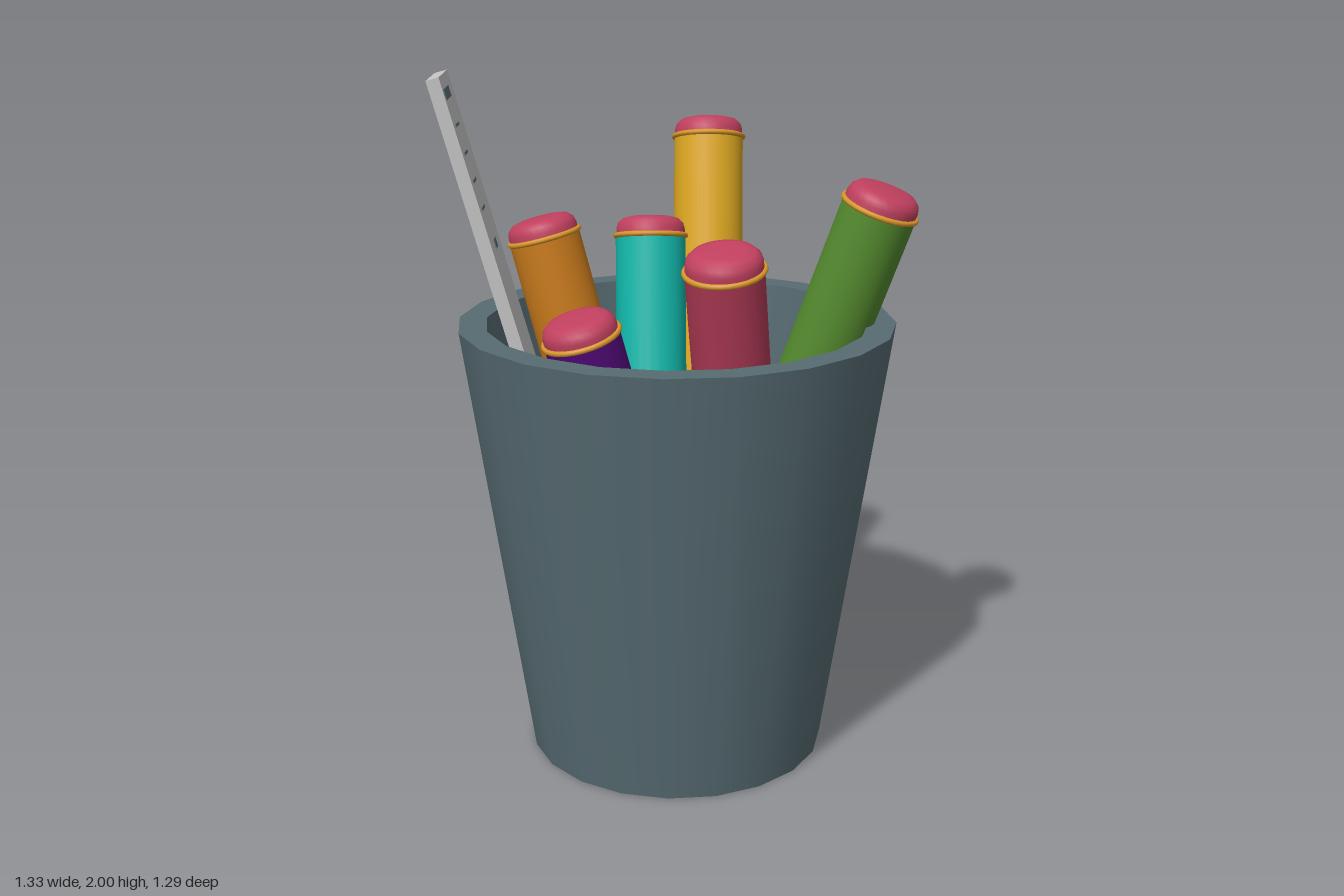
import * as THREE from 'three';

const mat = (name, color, side = THREE.FrontSide) => {
  const m = new THREE.MeshStandardMaterial({ color, side });
  m.name = name;
  return m;
};

export function createModel() {
  const slate = mat('slate', 0x566b72);
  const rubber = mat('rubber pink', 0xc0405f);
  const brass = mat('brass', 0xd8962a);
  const silver = mat('silver', 0xc4c4c4);

  const model = new THREE.Group();
  model.name = 'pencilCup';

  const add = (parent, name, geometry, material, x = 0, y = 0, z = 0) => {
    const mesh = new THREE.Mesh(geometry, material);
    mesh.name = name;
    mesh.position.set(x, y, z);
    parent.add(mesh);
    return mesh;
  };
  const lathe = (pts, sides) =>
    new THREE.LatheGeometry(pts.map(([r, y]) => new THREE.Vector2(r, y)), sides);

  // Cup: one lathe band per surface, so the edges between them stay sharp
  const floorY = 0.35;
  const cup = new THREE.Group();
  cup.name = 'cup';
  cup.position.z = 0.02;
  model.add(cup);
  const profile = [[0, 0], [0.44, 0], [0.63, 1.3], [0.55, 1.3], [0.45, floorY], [0, floorY]];
  ['cupBase', 'cupWall', 'cupRim', 'cupInnerWall', 'cupFloor'].forEach((name, i) => {
    add(cup, name, lathe([profile[i], profile[i + 1]], 20), slate);
  });

  // Pencils: foot on the cup floor [x, z], brass band centre [x, y, z]
  const pencils = [
    ['yellowPencil', 0xdaa520, [0.04, -0.14], [-0.106, 1.75, -0.53]],
    ['greenPencil', 0x558b2f, [0.09, -0.13], [0.55, 1.635, -0.13]],
    ['crimsonPencil', 0xb03a55, [0.26, 0.09], [0.26, 1.53, 0.345]],
    ['tealPencil', 0x12b5a8, [-0.09, -0.01], [-0.205, 1.475, -0.29]],
    ['orangePencil', 0xc87a1c, [-0.165, -0.13], [-0.47, 1.49, -0.093]],
    ['purplePencil', 0x520a78, [0.033, 0.147], [-0.15, 1.315, 0.355]],
  ];
  const radius = 0.107;
  const bandGeo = new THREE.TorusGeometry(radius, 0.008, 8, 28).rotateX(Math.PI / 2);
  const eraserGeo = lathe(
    [[0.105, 0], [0.105, 0.02], [0.1, 0.038], [0.085, 0.052], [0.06, 0.058], [0, 0.06]], 28);
  const up = new THREE.Vector3(0, 1, 0);

  for (const [name, color, [fx, fz], band] of pencils) {
    const foot = new THREE.Vector3(fx, floorY, fz);
    const axis = new THREE.Vector3(...band).sub(foot);
    const length = axis.length() + 0.05; // sinks slightly below the floor
    const pencil = new THREE.Group();
    pencil.name = name;
    pencil.position.set(...band);
    pencil.quaternion.setFromUnitVectors(up, axis.normalize());
    add(pencil, 'body', new THREE.CylinderGeometry(radius, radius, length, 28),
      mat(name + ' paint', color), 0, -length / 2, 0);
    add(pencil, 'band', bandGeo, brass);
    add(pencil, 'eraser', eraserGeo, rubber);
    model.add(pencil);
  }

  // Ruler: local origin at its top end, leaning out over the rim
  const [thick, long, wide] = [0.037, 1.74, 0.217];
  const ruler = new THREE.Group();
  ruler.name = 'ruler';
  ruler.position.set(-0.615, 1.995, 0.266);
  ruler.rotation.set(0, 0.39, 0.268, 'YXZ');
  model.add(ruler);
  add(ruler, 'rulerBlade', new THREE.BoxGeometry(thick, long, wide), silver, 0, -long / 2, 0);

  // Scale marks on both faces: [distance from top, start, end, height]
  const marks = [[0.05, 0.01, 0.12, 0.03], [0.49, 0.08, 0.12, 0.028]];
  for (let d = 0.14; d < 0.46; d += 0.08) marks.push([d, 0.035, 0.1, 0.008]);
  for (const turn of [0, Math.PI]) {
    const face = new THREE.Group();
    face.name = 'rulerMarks';
    face.rotation.y = turn;
    for (const [d, a, b, h] of marks) {
      add(face, 'mark', new THREE.BoxGeometry(0.004, h, b - a), slate,
        thick / 2 + 0.001, -d, wide / 2 - (a + b) / 2);
    }
    ruler.add(face);
  }
  return model;
}
